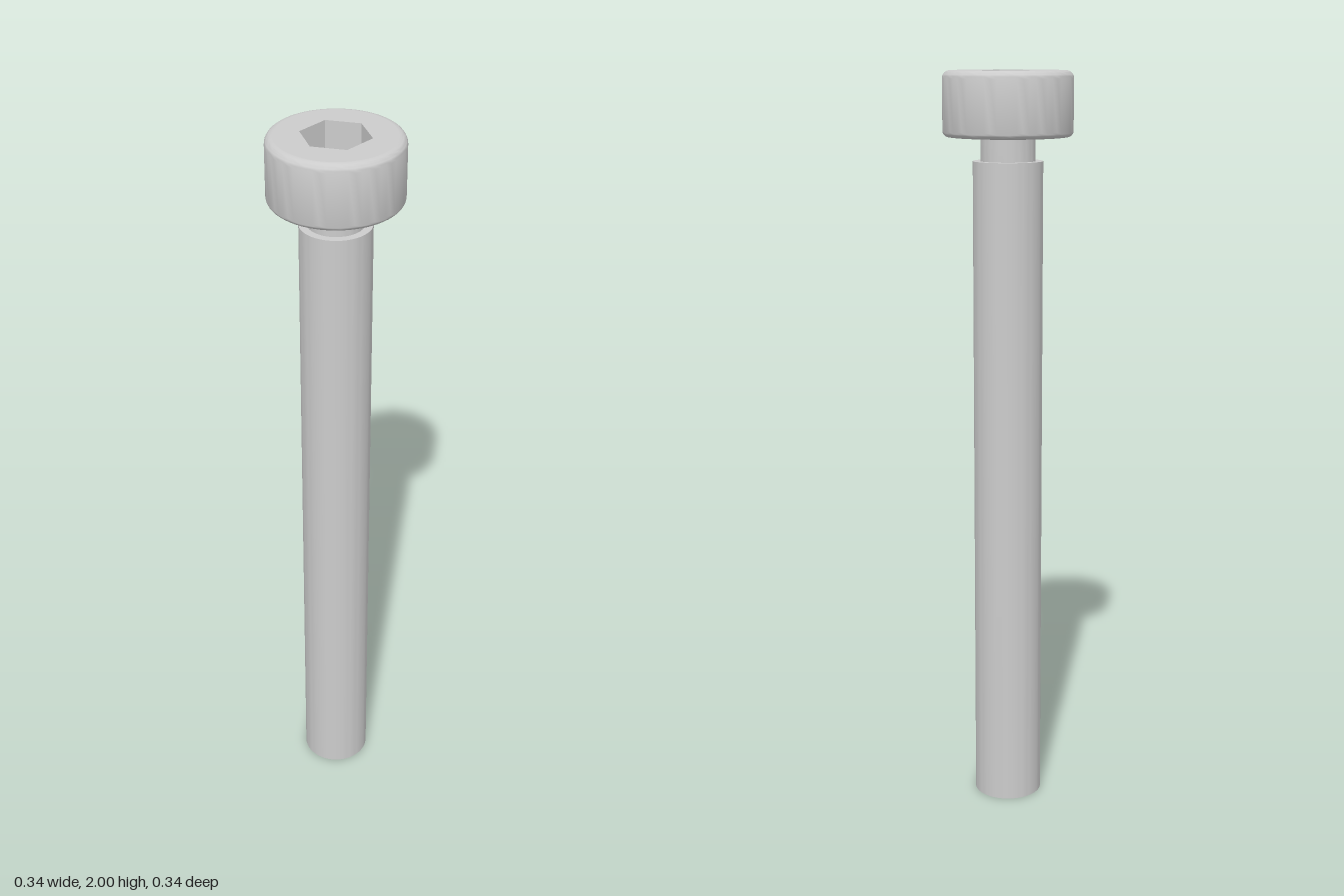
import * as THREE from 'three';
import { toCreasedNormals } from 'three/addons/utils/BufferGeometryUtils.js';

const SEGMENTS = 64;
const SHANK_R = 0.092, SHANK_TOP = 1.77;
const NECK_R = 0.072;
const HEAD_R = 0.17, HEAD_BOTTOM = 1.832, HEAD_TOP = 2;
const FILLET_TOP = 0.02, FILLET_BOTTOM = 0.015;
const HEX_R = 0.089, HEX_DEPTH = 0.095;

export function createModel() {
  const group = new THREE.Group();
  const material = new THREE.MeshStandardMaterial({ color: 0xcccccc });

  const add = (name, geometry) => {
    const mesh = new THREE.Mesh(geometry, material);
    mesh.name = name;
    group.add(mesh);
  };

  // Turned part: smooth around, sharp at hard corners of the profile
  const turned = (profile) => toCreasedNormals(
    new THREE.LatheGeometry(profile.map(([r, y]) => new THREE.Vector2(r, y)), SEGMENTS),
    Math.PI / 6
  );

  // Quarter-round profile points between two angles
  const arc = (cx, cy, r, from, to, steps = 6) =>
    Array.from({ length: steps + 1 }, (_, i) => {
      const a = from + (to - from) * i / steps;
      return [cx + r * Math.cos(a), cy + r * Math.sin(a)];
    });

  // Shank with flat ends, and the narrower neck under the head
  add('shank', turned([[0, 0], [SHANK_R, 0], [SHANK_R, SHANK_TOP], [NECK_R, SHANK_TOP]]));
  add('neck', turned([[NECK_R, SHANK_TOP], [NECK_R, HEAD_BOTTOM]]));

  // Head: underside, rounded lower edge, side wall, rounded upper edge
  add('head', turned([
    [NECK_R, HEAD_BOTTOM],
    ...arc(HEAD_R - FILLET_BOTTOM, HEAD_BOTTOM + FILLET_BOTTOM, FILLET_BOTTOM, -Math.PI / 2, 0),
    ...arc(HEAD_R - FILLET_TOP, HEAD_TOP - FILLET_TOP, FILLET_TOP, 0, Math.PI / 2),
  ]));

  // Flat top of the head with a hexagonal opening
  const polygon = (r, n) => Array.from({ length: n }, (_, i) => {
    const a = i / n * Math.PI * 2;
    return new THREE.Vector2(r * Math.cos(a), r * Math.sin(a));
  });
  const face = new THREE.Shape(polygon(HEAD_R - FILLET_TOP, SEGMENTS));
  face.holes.push(new THREE.Path(polygon(HEX_R, 6)));
  add('headTop', new THREE.ShapeGeometry(face).rotateX(-Math.PI / 2).translate(0, HEAD_TOP, 0));

  // Hex socket walls, mirrored so that they face inward
  const walls = new THREE.CylinderGeometry(HEX_R, HEX_R, HEX_DEPTH, 6, 1, true, Math.PI / 6)
    .scale(-1, 1, 1).translate(0, HEAD_TOP - HEX_DEPTH / 2, 0);
  // Mirroring reverses the corner order, so rebuild flat normals from it
  const flatWalls = walls.toNonIndexed();
  flatWalls.computeVertexNormals();
  add('socketWalls', flatWalls);

  // Socket floor
  add('socketFloor', new THREE.CircleGeometry(HEX_R, 6)
    .rotateX(-Math.PI / 2).translate(0, HEAD_TOP - HEX_DEPTH, 0));

  return group;
}
